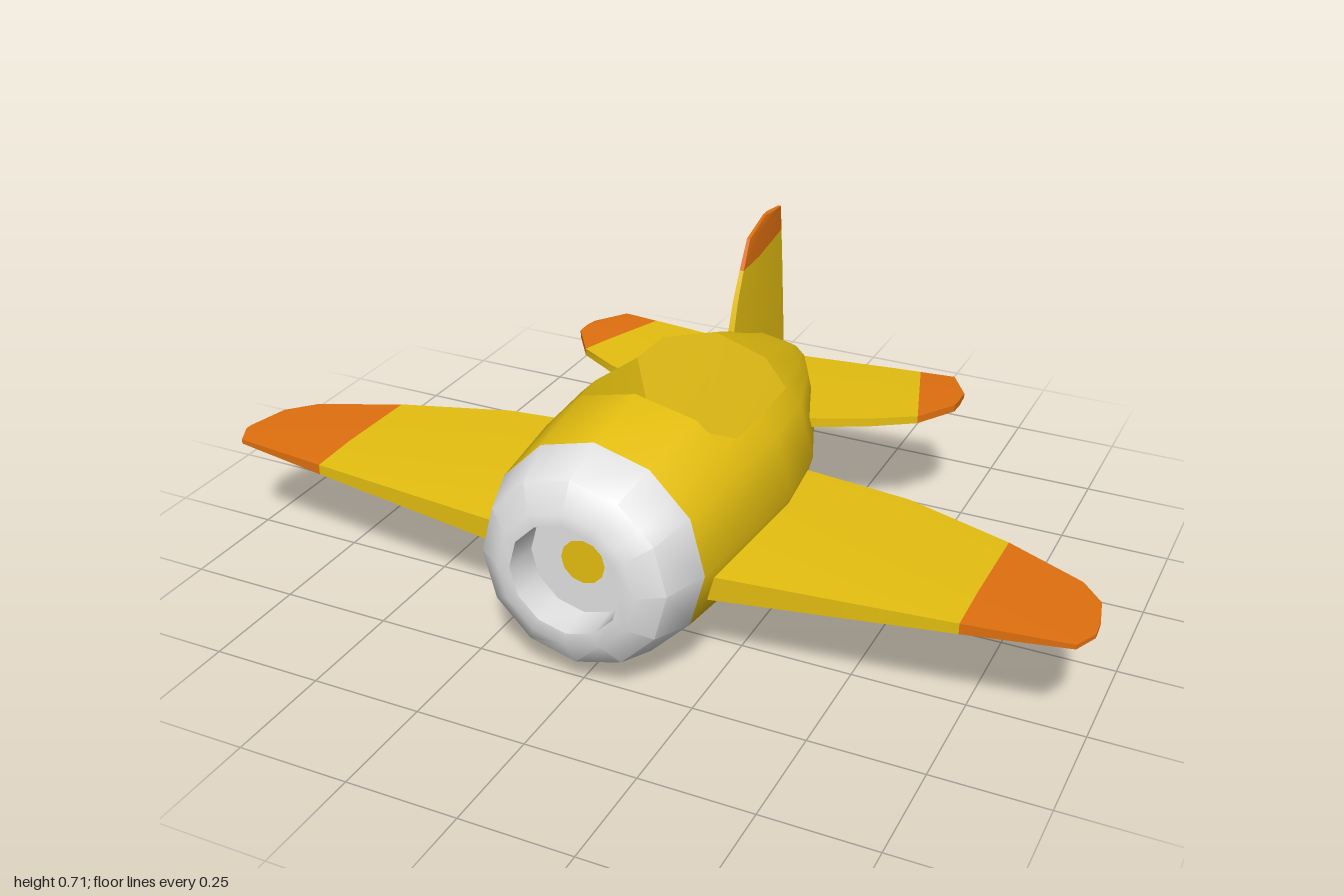
import * as THREE from 'three';
import { toCreasedNormals } from 'three/addons/utils/BufferGeometryUtils.js';

const yellow = new THREE.MeshStandardMaterial({ color: 0xe5bf10 });
yellow.name = 'yellow paint';
const orange = new THREE.MeshStandardMaterial({ color: 0xe0700f });
orange.name = 'orange tips';
const white = new THREE.MeshStandardMaterial({ color: 0xe2e2e2 });
white.name = 'white cowl';

// Skins a list of closed rings of [x, y, z]. slot(i) picks the material of
// segment i (-1 is the start cap); skip(i, j) leaves out a face.
function loft(name, rings, mats, { slot = () => 0, skip = () => false, flip = false,
  startCap = true, crease = 0.7 } = {}) {
  const n = rings[0].length, last = rings.length - 1;
  const faces = mats.map(() => []);
  const tri = (s, a, b, c) => faces[s].push(...(flip ? [a, c, b] : [a, b, c]));
  for (let i = 0; i < last; i++) {
    for (let j = 0; j < n; j++) {
      if (skip(i, j)) continue;
      const k = (j + 1) % n;
      const a = i * n + j, b = i * n + k, c = b + n, d = a + n;
      tri(slot(i), a, d, b);
      tri(slot(i), b, d, c);
    }
  }
  for (let j = 1; j < n - 1; j++) {
    if (startCap) tri(slot(-1), 0, j, j + 1);
    tri(slot(last - 1), last * n, last * n + j + 1, last * n + j);
  }
  const g = new THREE.BufferGeometry();
  g.setAttribute('position', new THREE.Float32BufferAttribute(rings.flat(2), 3));
  g.setIndex(faces.flat());
  let start = 0;
  faces.forEach((f, m) => { g.addGroup(start, f.length, m); start += f.length; });
  const mesh = new THREE.Mesh(toCreasedNormals(g, crease), mats);
  mesh.name = name;
  return mesh;
}

// Twelve-sided body section with an extra rim point on each upper shoulder.
function bodyRing(z, top, bottom, halfWidth, lean = 0) {
  const cy = (top + bottom) / 2, h = (top - bottom) / 2;
  const at = (deg) => {
    const a = THREE.MathUtils.degToRad(deg);
    return [halfWidth * Math.cos(a), cy + h * Math.sin(a), z];
  };
  const mix = (p, q) => p.map((v, i) => v + (q[i] - v) * 0.38);
  const ring = [at(0), at(30), mix(at(30), at(60)), at(60), at(90), at(120),
    mix(at(150), at(120)), at(150)];
  for (let deg = 180; deg < 360; deg += 30) ring.push(at(deg));
  // the cockpit end walls lean outward above the rim
  ring[3][2] += lean * 0.6;
  ring[4][2] += lean;
  ring[5][2] += lean * 0.6;
  return ring;
}

// Flat surface with sections [leadSpan, leadChord, trailSpan, trailChord];
// place(span, chord, t, side) gives the point on side +1 or -1.
function panel(name, sections, orangeFrom, place, flip) {
  const steps = [[0, 1], [0.35, 1], [1, 1], [1, -1], [0.35, -1], [0, -1]];
  const rings = sections.map(([s0, c0, s1, c1]) => steps.map(([t, side]) =>
    place(s0 + (s1 - s0) * t, c0 + (c1 - c0) * t, t, side)));
  return loft(name, rings, [yellow, orange],
    { slot: (i) => (i >= orangeFrom ? 1 : 0), flip, crease: 0.5 });
}

export function createModel() {
  const group = new THREE.Group();
  group.name = 'airplane';

  // Body: hub, recessed air intake, cowl, then fuselage back to the tail
  const body = [
    bodyRing(0.49, 0.33, 0.23, 0.05),
    bodyRing(0.49, 0.4, 0.16, 0.12),
    bodyRing(0.57, 0.405, 0.155, 0.125),
    bodyRing(0.57, 0.432, 0.125, 0.155),
    bodyRing(0.533, 0.49, 0.064, 0.21),
    bodyRing(0.43, 0.525, 0.03, 0.245),
    bodyRing(0.22, 0.55, 0.01, 0.266, 0.025),
    bodyRing(0.05, 0.555, 0.003, 0.275),
    bodyRing(-0.125, 0.53, 0.031, 0.254, -0.025),
    bodyRing(-0.385, 0.44, 0.11, 0.155),
    bodyRing(-0.57, 0.335, 0.22, 0.06),
  ];
  group.add(loft('fuselage', body, [yellow, white], {
    slot: (i) => (i >= 0 && i < 5 ? 1 : 0),
    skip: (i, j) => (i === 6 || i === 7) && j >= 2 && j <= 5,
  }));

  // Cockpit tub: walls from the rim of the opening down to the floor
  const [front, middle, back] = [body[6], body[7], body[8]];
  const rim = [...front.slice(2, 7), middle[6], ...back.slice(2, 7).reverse(), middle[2]];
  const floor = rim.map(([x], i) => {
    if (i < 5) return [x * 0.79, 0.3, 0.185];
    if (i === 5 || i === 11) return [x * 0.74, 0.3, 0.05];
    return [x * 0.76, 0.3, -0.1];
  });
  group.add(loft('cockpit', [rim, floor], [yellow], { startCap: false, crease: 0.5 }));

  // Main wings and tailplanes, mirrored
  const wing = [
    [0.15, 0.383, 0.15, -0.125],
    [0.5, 0.364, 0.5, -0.075],
    [0.75, 0.35, 0.75, 0.015],
    [0.93, 0.338, 0.93, 0.105],
    [0.975, 0.335, 0.982, 0.165],
    [1, 0.285, 0.998, 0.24],
  ];
  const tailplane = [
    [0.03, -0.19, 0.03, -0.562],
    [0.22, -0.235, 0.2, -0.565],
    [0.335, -0.277, 0.28, -0.567],
    [0.43, -0.325, 0.355, -0.567],
    [0.49, -0.41, 0.44, -0.567],
    [0.492, -0.44, 0.49, -0.485],
  ];
  for (const s of [1, -1]) {
    const label = s > 0 ? 'left' : 'right';
    group.add(panel(label + 'Wing', wing, 2, (x, z, t, side) => {
      const mid = 0.202 + 0.062 * x + t * (0.036 - 0.036 * x);
      const half = (0.034 * (1 - x) + 0.005) * (t === 1 ? 0.32 : t > 0 ? 1.02 : 0.9);
      return [s * x, mid + side * half, z];
    }, s < 0));
    group.add(panel(label + 'Tailplane', tailplane, 3, (x, z, t, side) => {
      const half = (0.014 - 0.012 * x) * (t === 1 ? 0.6 : 1);
      return [s * x, 0.297 + 0.058 * x + side * half, z];
    }, s < 0));
  }

  // Tail fin
  const fin = [
    [0.43, -0.22, 0.34, -0.537],
    [0.5, -0.24, 0.45, -0.53],
    [0.56, -0.26, 0.56, -0.523],
    [0.625, -0.293, 0.65, -0.516],
    [0.69, -0.33, 0.7, -0.512],
    [0.718, -0.42, 0.71, -0.511],
  ];
  group.add(panel('tailFin', fin, 3, (y, z, t, side) => {
    const half = (0.018 - 0.035 * (y - 0.4)) * (t === 0 || t === 1 ? 0.5 : 1);
    return [-side * half, y, z];
  }, false));

  return group;
}
